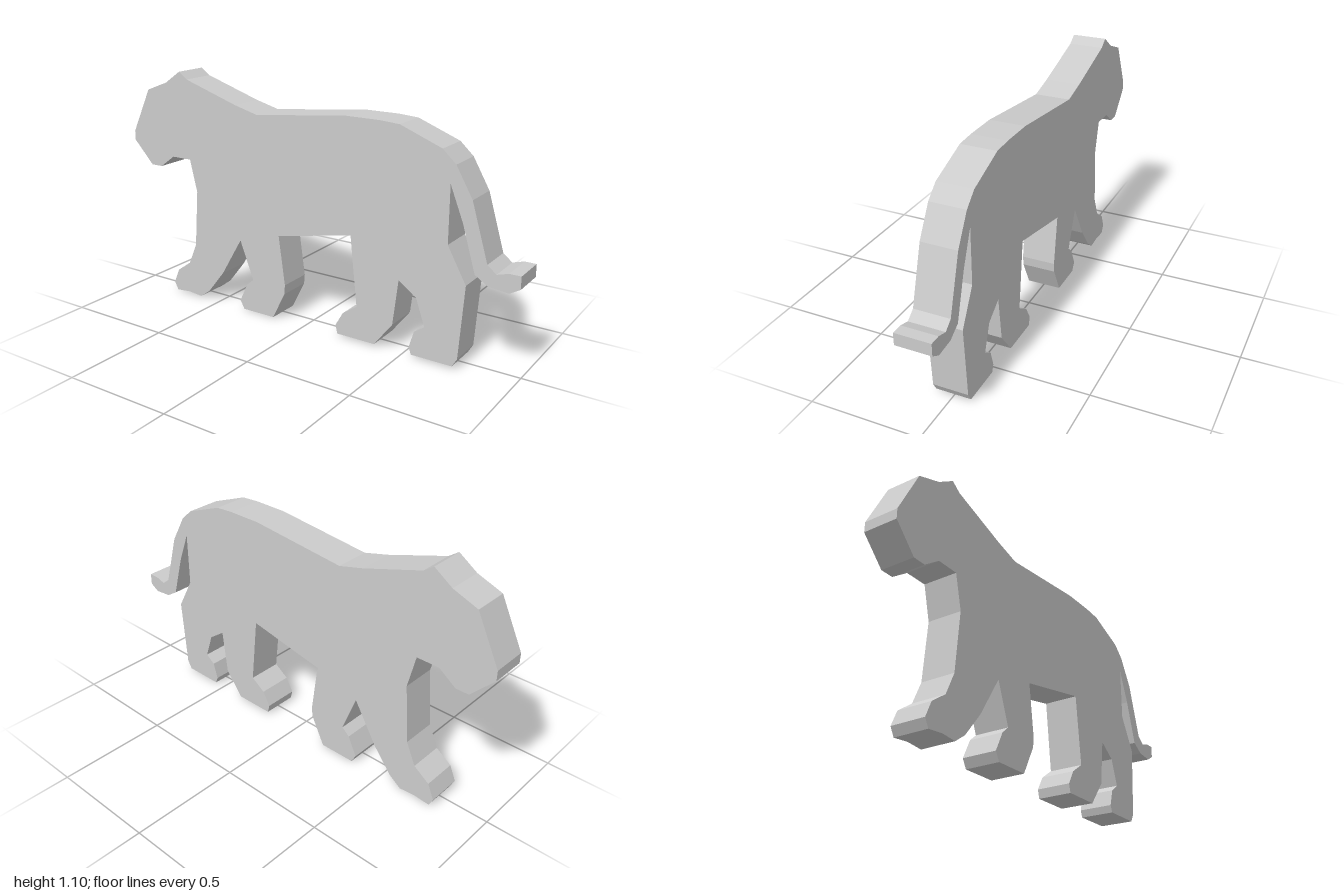
import * as THREE from 'three';

const THICKNESS = 0.16;

// Outline segments, running counter-clockwise as seen from the front
const outline = {
  tail: [[0.69, 0.78], [0.75, 0.63], [0.81, 0.43], [0.87, 0.392], [0.955, 0.384], [1, 0.41],
    [1, 0.465], [0.95, 0.465], [0.9, 0.45], [0.86, 0.482], [0.785, 0.73], [0.71, 0.86]],
  back: [[0.65, 0.915], [0.46, 0.988], [0.37, 0.994], [0.21, 0.994], [-0.25, 0.946], [-0.37, 0.977]],
  head: [[-0.65, 1.066], [-0.695, 1.098], [-0.78, 1.04], [-0.895, 0.997], [-1, 0.785], [-1, 0.74],
    [-0.895, 0.63], [-0.835, 0.63], [-0.755, 0.688], [-0.65, 0.688]],
  leadingForeleg: [[-0.613, 0.535], [-0.635, 0.265], [-0.68, 0.163], [-0.755, 0.11], [-0.785, 0.04],
    [-0.765, 0.002], [-0.69, 0.009], [-0.615, 0.002], [-0.56, 0.042], [-0.47, 0.155], [-0.358, 0.342]],
  trailingForeleg: [[-0.288, 0.16], [-0.325, 0.128], [-0.367, 0.04], [-0.345, 0], [-0.175, 0],
    [-0.11, 0.13], [-0.106, 0.175], [-0.138, 0.407]],
  leadingHindLeg: [[0.24, 0.482], [0.275, 0.163], [0.205, 0.115], [0.168, 0.05], [0.178, 0.01],
    [0.365, 0.01], [0.452, 0.123], [0.476, 0.332]],
  trailingHindLeg: [[0.56, 0.272], [0.602, 0.152], [0.555, 0.118], [0.533, 0.042], [0.545, 0.01],
    [0.733, 0.01], [0.755, 0.048], [0.776, 0.375], [0.69, 0.53]],
};

export function createModel() {
  const group = new THREE.Group();
  group.name = 'bigCatCutout';

  // One flat board cut along the joined outline
  const points = Object.values(outline).flat().map(([x, y]) => new THREE.Vector2(x, y));
  const geometry = new THREE.ExtrudeGeometry(new THREE.Shape(points), {
    depth: THICKNESS, bevelEnabled: false,
  });
  geometry.translate(0, 0, -THICKNESS / 2);

  const body = new THREE.Mesh(geometry, new THREE.MeshStandardMaterial({ color: 0xcccccc, flatShading: true }));
  body.name = 'catSilhouette';
  group.add(body);
  return group;
}
